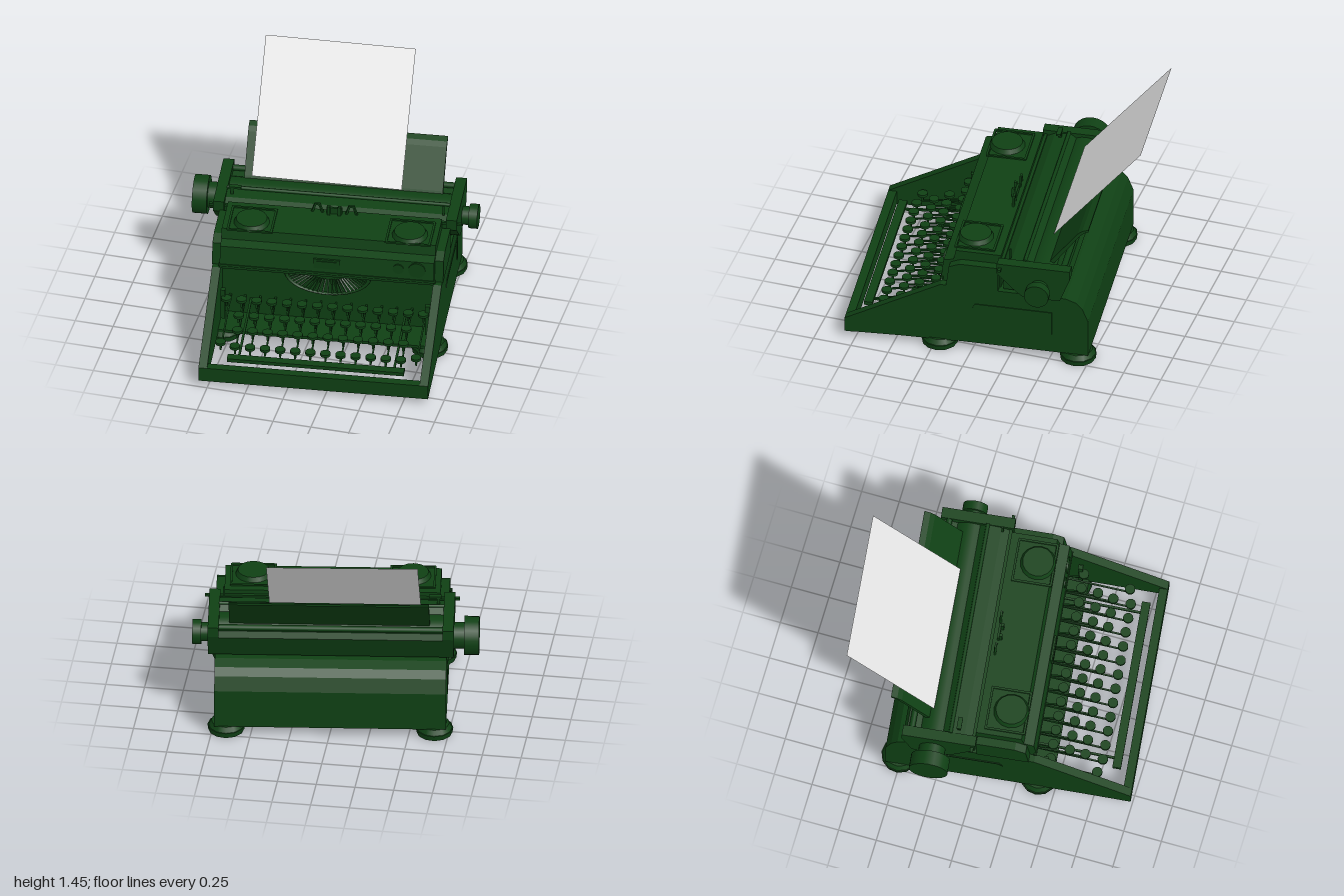
import * as THREE from 'three';

const enamel = new THREE.MeshStandardMaterial({ color: 0x0f4014 });
enamel.name = 'darkGreenEnamel';
const paperWhite = new THREE.MeshStandardMaterial({ color: 0xe8e8e8, side: THREE.DoubleSide });
paperWhite.name = 'paperWhite';

export function createModel() {
  const root = new THREE.Group();
  root.name = 'typewriter';
  const machine = new THREE.Group();
  machine.name = 'machine';
  // the machine stands slightly turned
  machine.rotation.y = 0.115;
  machine.position.set(0.07, 0, -0.008);
  root.add(machine);

  const add = (name, geo, x = 0, y = 0, z = 0, mat = enamel) => {
    const m = new THREE.Mesh(geo, mat);
    m.name = name;
    m.position.set(x, y, z);
    machine.add(m);
    return m;
  };
  const box = (name, w, h, d, x, y, z) => add(name, new THREE.BoxGeometry(w, h, d), x, y, z);
  const disc = (name, r1, r2, h, x, y, z, n = 20) =>
    add(name, new THREE.CylinderGeometry(r1, r2, h, n), x, y, z);
  // cylinder lying along x, from x0 to x1
  const roller = (name, r, x0, x1, y, z, n = 24) => {
    const g = new THREE.CylinderGeometry(r, r, x1 - x0, n).rotateZ(Math.PI / 2);
    return add(name, g, (x0 + x1) / 2, y, z);
  };
  // side profile of [z, y] points, extruded along x
  const slab = (name, pts, width, x = 0) => {
    const shape = new THREE.Shape(pts.map(p => new THREE.Vector2(p[0], p[1])));
    const g = new THREE.ExtrudeGeometry(shape, { depth: width, bevelEnabled: false });
    g.rotateY(-Math.PI / 2).translate(width / 2, 0, 0);
    return add(name, g, x);
  };
  // square bar between two points
  const bar = (name, a, b, t) => {
    const p = new THREE.Vector3(...a), q = new THREE.Vector3(...b);
    const m = box(name, t, t, p.distanceTo(q), 0, 0, 0);
    m.position.copy(p).add(q).multiplyScalar(0.5);
    m.quaternion.setFromUnitVectors(new THREE.Vector3(0, 0, 1), q.sub(p).normalize());
    return m;
  };

  // body: solid rear, side cheeks and front bar around an open keyboard well
  slab('rearBody', [[0.2, 0.065], [0.2, 0.49], [-0.52, 0.49], [-0.59, 0.465], [-0.63, 0.42],
    [-0.666, 0.33], [-0.666, 0.065]], 1.48);
  for (const s of [-1, 1]) {
    slab('sideCheek', [[0.19, 0.062], [0.55, 0.055], [0.92, 0.04], [0.92, 0.14], [0.295, 0.49], [0.19, 0.49]],
      0.055, s * 0.7125);
    // shallow panel on the side
    slab('sidePanel', [[0.09, 0.33], [0.07, 0.37], [-0.43, 0.37], [-0.43, 0.2], [-0.4, 0.2],
      [-0.4, 0.355], [0.06, 0.355]], 0.006, s * 0.742);
    box('innerPost', 0.03, 0.22, 0.03, s * 0.66, 0.26, 0.36);
    // feet
    for (const z of [0.313, -0.586]) {
      disc('footPad', 0.12, 0.115, 0.035, s * 0.665, 0.0175, z, 12);
      disc('footCap', 0.095, 0.115, 0.035, s * 0.665, 0.05, z, 12);
    }
  }
  box('frontBar', 1.48, 0.1, 0.055, 0, 0.09, 0.8925);
  box('wellFloor', 1.38, 0.02, 0.22, 0, 0.075, 0.3);

  // type basket: curved segment with radiating type bars
  const basket = add('typeBasket', new THREE.TorusGeometry(0.27, 0.014, 6, 32, Math.PI), 0, 0.48, 0.255);
  basket.rotation.z = Math.PI;
  basket.scale.y = 0.57;
  for (let i = 1; i < 26; i++) {
    const a = Math.PI * i / 26;
    const c = Math.cos(a), s = Math.sin(a);
    bar('typeBar', [c * 0.28, 0.48 - s * 0.16, 0.262], [c * 0.15, 0.48 - s * 0.07, 0.215], 0.01);
  }

  // hood with stepped front and narrower ends
  slab('hood', [[-0.09, 0.485], [0.295, 0.485], [0.3, 0.52], [0.285, 0.65], [0.22, 0.665],
    [0.205, 0.735], [-0.09, 0.735]], 1.38);
  slab('hoodEnds', [[-0.08, 0.485], [0.26, 0.485], [0.24, 0.64], [0.17, 0.67], [-0.08, 0.67]], 1.49);
  box('hoodLip', 1.4, 0.015, 0.02, 0, 0.515, 0.295);
  // badge plate and front dials
  box('badgeFrame', 0.17, 0.07, 0.012, 0, 0.585, 0.295);
  box('badgePlate', 0.13, 0.045, 0.012, 0, 0.585, 0.3);
  for (const [x, r] of [[0.46, 0.035], [0.58, 0.055]]) {
    disc('frontDial', r, r, 0.012, x, 0.59, 0.292).rotation.x = Math.PI / 2;
  }
  // ribbon spool covers
  for (const s of [-1, 1]) {
    disc('spoolCover', 0.1, 0.115, 0.03, s * 0.51, 0.752, 0.11, 16);
    for (const t of [-1, 1]) {
      box('spoolFrameSide', 0.014, 0.012, 0.26, s * 0.51 + t * 0.14, 0.738, 0.09);
      box('spoolFrameEnd', 0.28, 0.012, 0.014, s * 0.51, 0.738, 0.09 + t * 0.125);
    }
    // forked ribbon guides
    for (const t of [-1, 1]) {
      bar('guideLeg', [s * 0.11 + t * 0.035, 0.73, -0.06], [s * 0.11 + t * 0.012, 0.8, -0.06], 0.013);
    }
    box('guideTop', 0.035, 0.012, 0.013, s * 0.11, 0.795, -0.06);
    box('typeGuidePost', 0.02, 0.08, 0.02, s * 0.035, 0.76, -0.04);
  }
  box('typeGuide', 0.1, 0.05, 0.015, 0, 0.755, -0.055);

  // carriage
  for (const s of [-1, 1]) {
    slab('carriageEnd', [[-0.08, 0.735], [-0.08, 0.66], [-0.2, 0.54], [-0.25, 0.5], [-0.49, 0.5],
      [-0.555, 0.67], [-0.555, 0.735]], 0.07, s * 0.75);
  }
  slab('carriageFrontCover', [[-0.1, 0.62], [-0.1, 0.69], [-0.16, 0.72], [-0.26, 0.73], [-0.3, 0.7],
    [-0.3, 0.62]], 1.44);
  box('carriageBed', 1.44, 0.1, 0.36, 0, 0.55, -0.29);
  slab('carriageRear', [[-0.47, 0.5], [-0.44, 0.68], [-0.53, 0.7], [-0.55, 0.66], [-0.49, 0.5]], 1.44);
  box('carriageRail', 1.63, 0.015, 0.02, 0, 0.7, -0.1);
  roller('platen', 0.13, -0.72, 0.72, 0.585, -0.357, 32);
  roller('rearRod', 0.02, -0.72, 0.72, 0.71, -0.5, 10);
  roller('paperBail', 0.012, -0.72, 0.72, 0.735, -0.25, 8);
  // platen knobs
  roller('platenAxle', 0.04, -0.85, 0.85, 0.585, -0.357, 16);
  roller('leftKnob', 0.125, -0.945, -0.85, 0.585, -0.357);
  roller('leftKnobCollar', 0.085, -0.86, -0.78, 0.585, -0.357);
  roller('rightKnob', 0.08, 0.83, 0.887, 0.585, -0.357);
  roller('rightKnobCollar', 0.06, 0.78, 0.84, 0.585, -0.357);
  // small carriage levers
  box('carriageLever', 0.08, 0.014, 0.03, -0.66, 0.775, -0.2);
  box('carriageLeverPost', 0.018, 0.06, 0.02, -0.68, 0.75, -0.2);
  box('marginPin', 0.012, 0.07, 0.012, 0.69, 0.76, -0.15);

  // paper rest with curled top edge
  slab('paperRest', [[-0.37, 0.66], [-0.41, 0.72], [-0.58, 0.945], [-0.61, 0.97], [-0.65, 0.985],
    [-0.65, 0.97], [-0.62, 0.955], [-0.595, 0.93], [-0.43, 0.7], [-0.4, 0.66]], 1.28, 0.01);
  const paper = add('paperSheet', new THREE.PlaneGeometry(0.968, 0.907), -0.089, 1.09, -0.66, paperWhite);
  paper.rotation.set(-0.677, 0, -0.012);

  // keyboard: round keys on stems, each with a lever running back
  const key = (x, y, z) => {
    disc('keyCap', 0.033, 0.033, 0.018, x, y, z, 14);
    box('keyStem', 0.012, 0.05, 0.012, x, y - 0.03, z);
    bar('keyLever', [x, y - 0.055, z], [x, 0.22, 0.2], 0.01);
  };
  const rows = [[14, 0.635, 0.385, 0.315], [12, 0.54, 0.492, 0.268], [12, 0.535, 0.592, 0.222],
    [12, 0.535, 0.705, 0.175]];
  for (const [n, half, z, y] of rows) {
    for (let i = 0; i < n; i++) key(-half + 2 * half * i / (n - 1), y, z);
  }
  for (const s of [-1, 1]) {
    key(s * 0.63, 0.185, 0.685);
    bar('spaceBarArm', [s * 0.5, 0.14, 0.8], [s * 0.5, 0.2, 0.2], 0.014);
  }
  box('spaceBar', 1.14, 0.025, 0.055, 0, 0.15, 0.8);

  return root;
}
